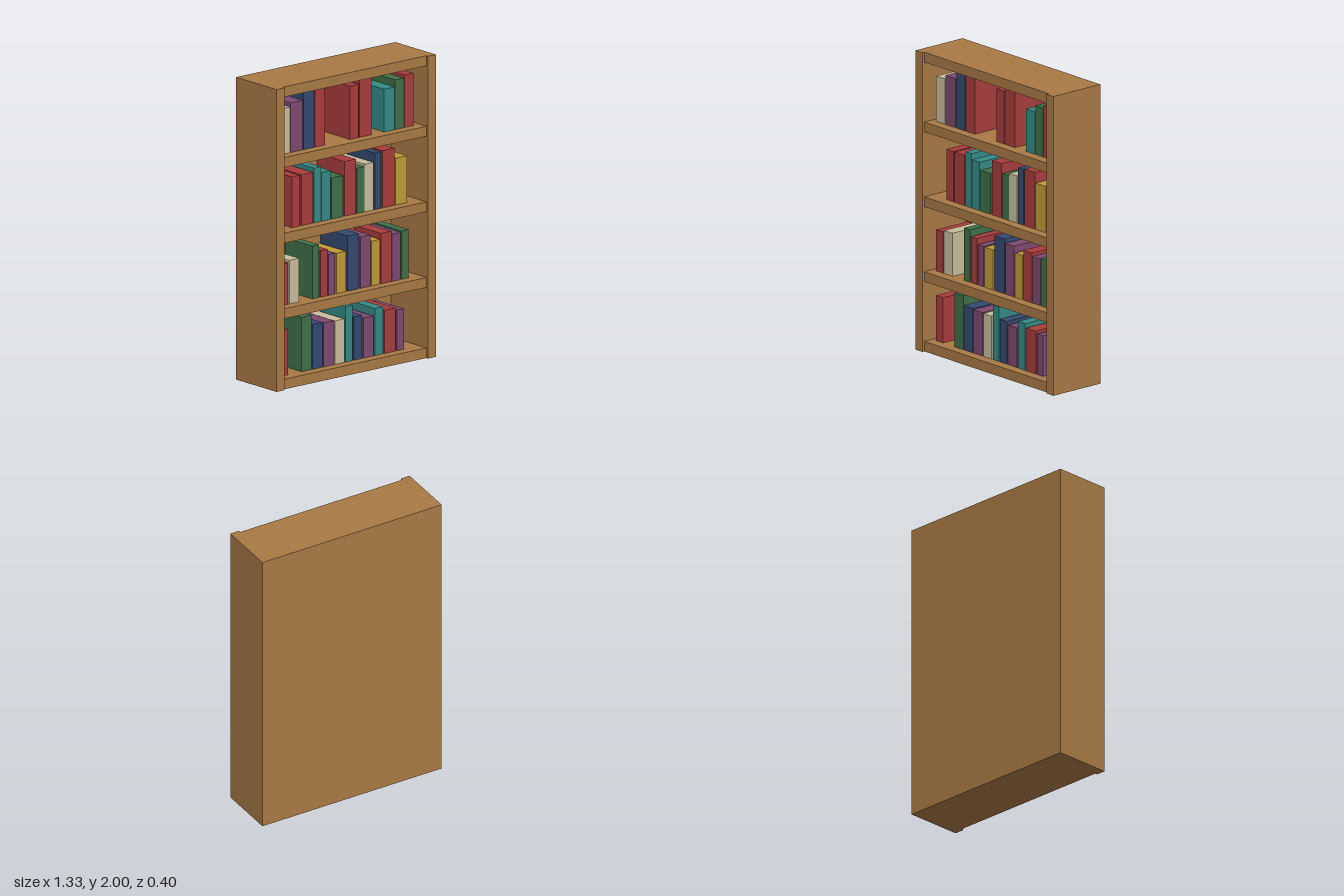
import * as THREE from 'three';

const material = (name, color) => {
  const m = new THREE.MeshStandardMaterial({ color });
  m.name = name;
  return m;
};

// Books on each shelf, bottom to top: [colour, left edge, width, height]
const ROWS = [
  [['red', -0.566, 0.069, 0.302], ['green', -0.386, 0.085, 0.36], ['navy', -0.296, 0.087, 0.296],
    ['purple', -0.201, 0.087, 0.291], ['cream', -0.106, 0.079, 0.288], ['teal', -0.016, 0.058, 0.365],
    ['navy', 0.053, 0.069, 0.286], ['purple', 0.132, 0.085, 0.265], ['teal', 0.228, 0.069, 0.312],
    ['red', 0.307, 0.095, 0.286], ['purple', 0.413, 0.058, 0.27]],
  [['red', -0.566, 0.069, 0.275], ['cream', -0.487, 0.082, 0.288], ['green', -0.296, 0.058, 0.349],
    ['red', -0.228, 0.058, 0.307], ['purple', -0.161, 0.056, 0.27], ['yellow', -0.095, 0.082, 0.267],
    ['navy', 0, 0.095, 0.365], ['purple', 0.106, 0.085, 0.339], ['yellow', 0.201, 0.069, 0.296],
    ['red', 0.28, 0.085, 0.333], ['purple', 0.37, 0.074, 0.312], ['green', 0.45, 0.061, 0.32]],
  [['red', -0.466, 0.069, 0.336], ['red', -0.386, 0.098, 0.336], ['teal', -0.28, 0.058, 0.362],
    ['teal', -0.217, 0.074, 0.323], ['green', -0.135, 0.098, 0.272], ['red', -0.026, 0.095, 0.362],
    ['green', 0.079, 0.061, 0.299], ['cream', 0.143, 0.074, 0.315], ['navy', 0.228, 0.053, 0.373],
    ['red', 0.291, 0.1, 0.378], ['yellow', 0.399, 0.098, 0.31]],
  [['cream', -0.566, 0.085, 0.302], ['purple', -0.476, 0.1, 0.328], ['navy', -0.37, 0.087, 0.376],
    ['red', -0.275, 0.085, 0.381], ['red', 0.019, 0.074, 0.352], ['red', 0.1, 0.098, 0.378],
    ['teal', 0.304, 0.087, 0.283], ['green', 0.397, 0.074, 0.328], ['red', 0.476, 0.074, 0.347]],
];

export function createModel() {
  const model = new THREE.Group();
  model.name = 'bookcase';
  const wood = material('wood', 0xa87945);
  const covers = {
    red: material('red cover', 0xa83c3c),
    purple: material('purple cover', 0x7d4a70),
    navy: material('navy cover', 0x344a70),
    cream: material('cream cover', 0xc8bd9c),
    teal: material('teal cover', 0x358a86),
    green: material('green cover', 0x3f7048),
    yellow: material('yellow cover', 0xbf9a36),
  };

  // Box given by its minimum and maximum corners
  const box = (parent, name, mat, [x0, y0, z0], [x1, y1, z1]) => {
    const mesh = new THREE.Mesh(new THREE.BoxGeometry(x1 - x0, y1 - y0, z1 - z0), mat);
    mesh.position.set((x0 + x1) / 2, (y0 + y1) / 2, (z0 + z1) / 2);
    mesh.name = name;
    parent.add(mesh);
  };

  // Case: two sides and a back panel
  const inner = 0.602, outer = 0.667, backFace = -0.167, shelfFront = 0.183;
  box(model, 'leftSide', wood, [inner, 0, -0.2], [outer, 2, 0.2]);
  box(model, 'rightSide', wood, [-outer, 0, -0.2], [-inner, 2, 0.2]);
  box(model, 'backPanel', wood, [-inner, 0, -0.2], [inner, 2, backFace]);

  // Base, three shelves and top, set back from the side edges
  const boards = [[0, 0.067], [0.467, 0.533], [0.967, 1.033], [1.467, 1.533], [1.933, 2]];
  const names = ['baseBoard', 'lowerShelf', 'middleShelf', 'upperShelf', 'topBoard'];
  boards.forEach(([y0, y1], i) =>
    box(model, names[i], wood, [-inner, y0, backFace], [inner, y1, shelfFront]));

  // Books standing on the boards
  ROWS.forEach((row, i) => {
    const books = new THREE.Group();
    books.name = `bookRow${i + 1}`;
    const y = boards[i][1];
    row.forEach(([color, x, w, h], j) =>
      box(books, `book${j + 1}`, covers[color], [x, y, -0.155], [x + w, y + h, 0.115]));
    model.add(books);
  });
  return model;
}
